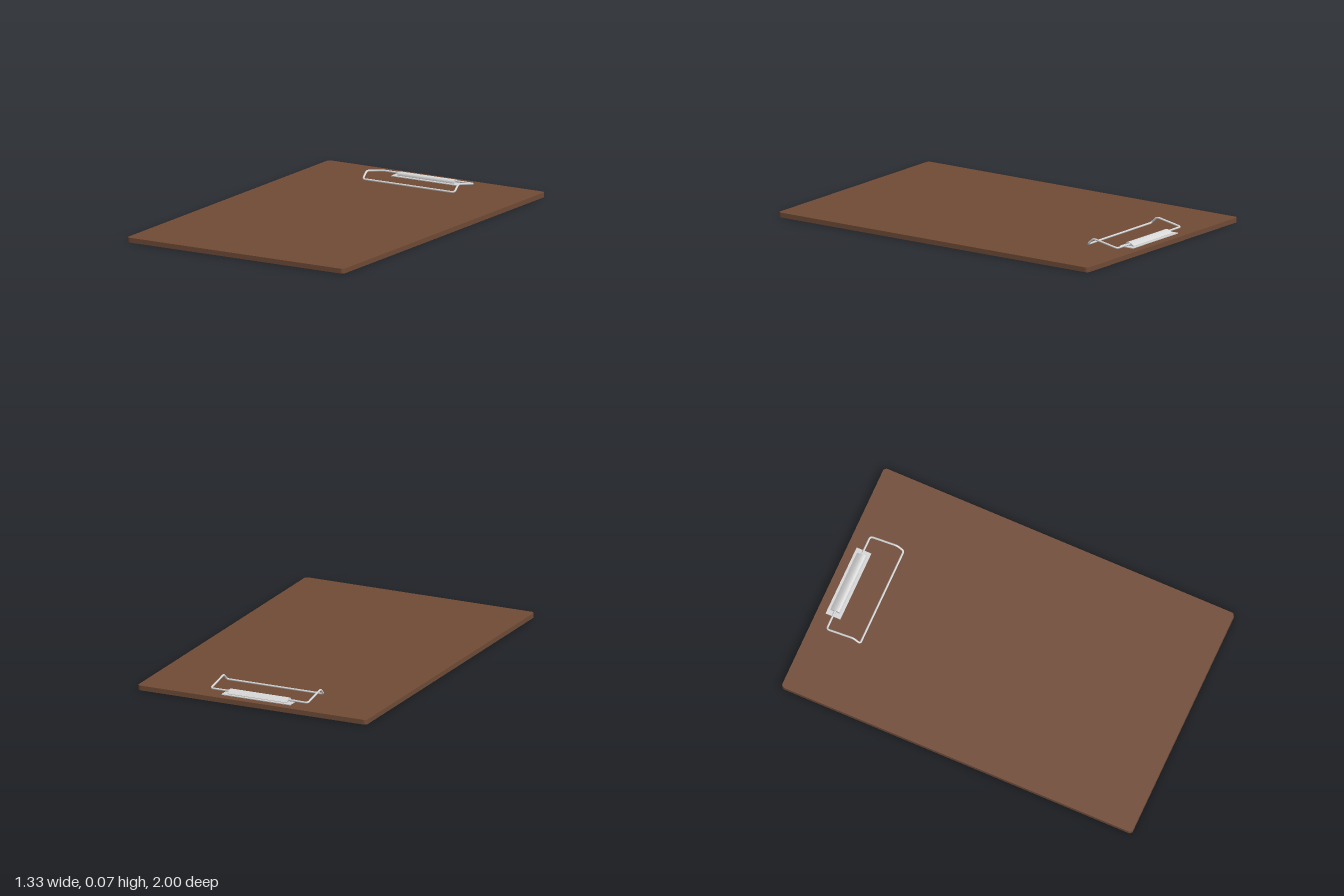
import * as THREE from 'three';

const BOARD_X = 0.665, BOARD_Z = 1, BOARD_Y = 0.026;

// Rounded rectangle outline
function roundedRect(w, h, r) {
  const s = new THREE.Shape();
  s.absarc(w - r, h - r, r, 0, Math.PI / 2);
  s.absarc(-w + r, h - r, r, Math.PI / 2, Math.PI);
  s.absarc(-w + r, -h + r, r, Math.PI, Math.PI * 1.5);
  s.absarc(w - r, -h + r, r, Math.PI * 1.5, Math.PI * 2);
  return s;
}

// Closed path through corner points, each corner rounded off
function roundedLoop(points, r) {
  const path = new THREE.CurvePath();
  const n = points.length;
  const toward = (a, b) => a.clone().add(b.clone().sub(a).setLength(r));
  points.forEach((p, i) => {
    const prev = points[(i + n - 1) % n], next = points[(i + 1) % n];
    const exit = toward(p, next);
    path.add(new THREE.QuadraticBezierCurve3(toward(p, prev), p, exit));
    path.add(new THREE.LineCurve3(exit, toward(next, p)));
  });
  return path;
}

export function createModel() {
  const group = new THREE.Group();
  group.name = 'clipboard';
  const wood = new THREE.MeshStandardMaterial({ color: 0x704b36 });
  wood.name = 'brown board';
  const metal = new THREE.MeshStandardMaterial({ color: 0xd6d6d6 });
  metal.name = 'light metal';

  const add = (name, geometry, material) => {
    const mesh = new THREE.Mesh(geometry, material);
    mesh.name = name;
    group.add(mesh);
    return mesh;
  };

  // Board lying flat
  const board = new THREE.ExtrudeGeometry(roundedRect(BOARD_X, BOARD_Z, 0.02),
    { depth: BOARD_Y, bevelEnabled: false, curveSegments: 8 });
  board.rotateX(-Math.PI / 2);
  add('board', board, wood);

  // Flat mounting plate under the clip
  add('mountingPlate', new THREE.BoxGeometry(0.4, 0.004, 0.084), metal)
    .position.set(0, BOARD_Y + 0.002, -0.91);

  // Folded sleeve holding the wire: sloped back, rounded front
  const profile = new THREE.Shape();
  profile.moveTo(0.938, 0.029);
  profile.lineTo(0.884, 0.029);
  profile.quadraticCurveTo(0.882, 0.049, 0.902, 0.049);
  profile.quadraticCurveTo(0.915, 0.049, 0.938, 0.033);
  profile.closePath();
  const sleeve = new THREE.ExtrudeGeometry(profile,
    { depth: 0.344, bevelEnabled: false, curveSegments: 8 });
  sleeve.translate(0, 0, -0.172);
  sleeve.rotateY(Math.PI / 2);
  add('sleeve', sleeve, metal);

  // Bent wire bail: through the sleeve, rising arms, dropping to the clamp bar
  const right = [[-0.91, 0.039], [-0.757, 0.068], [-0.719, 0.032]]
    .map(([z, y]) => new THREE.Vector3(-0.281, y, z));
  const left = right.map(p => p.clone().setX(-p.x)).reverse();
  const wire = new THREE.TubeGeometry(roundedLoop([...right, ...left], 0.016), 300, 0.0055, 10, true);
  add('wireClamp', wire, metal);

  return group;
}
